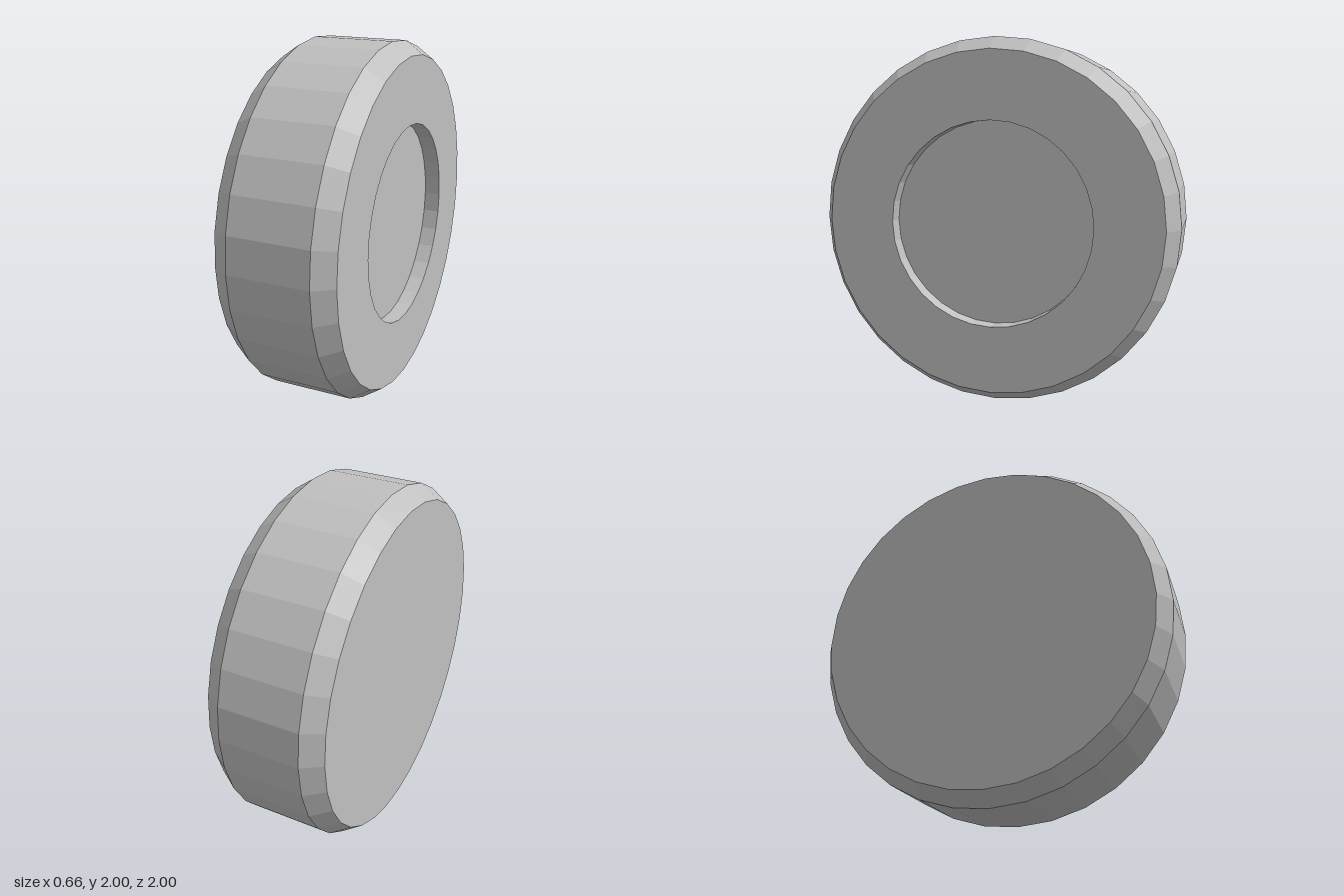
import * as THREE from 'three';

const SEGMENTS = 32;

// Turns a [radius, x] profile around the x axis, listed from -x to +x along the outside
function turned(name, profile, material) {
  const points = profile.map(([r, x]) => new THREE.Vector2(r, x));
  const geometry = new THREE.LatheGeometry(points, SEGMENTS);
  geometry.rotateZ(-Math.PI / 2);
  const mesh = new THREE.Mesh(geometry, material);
  mesh.name = name;
  return mesh;
}

export function createModel() {
  const rubber = new THREE.MeshStandardMaterial({ color: 0xc0c0c0, flatShading: true });
  rubber.name = 'light grey';

  const side = 0.33, treadEdge = 0.225, recess = 0.09;
  const outer = 1, shoulder = 0.93, hub = 0.56;

  const wheel = new THREE.Group();
  wheel.name = 'wheel';
  wheel.position.y = outer;

  // Closed back, bevelled shoulders, tread and outer side wall
  wheel.add(turned('tyre', [
    [0, -side], [shoulder, -side], [outer, -treadEdge],
    [outer, treadEdge], [shoulder, side], [hub, side],
  ], rubber));

  // Shallow round recess in the +x side
  wheel.add(turned('hubRecess', [
    [hub, side], [hub, side - recess], [0, side - recess],
  ], rubber));

  const model = new THREE.Group();
  model.name = 'wheelModel';
  model.add(wheel);
  return model;
}
